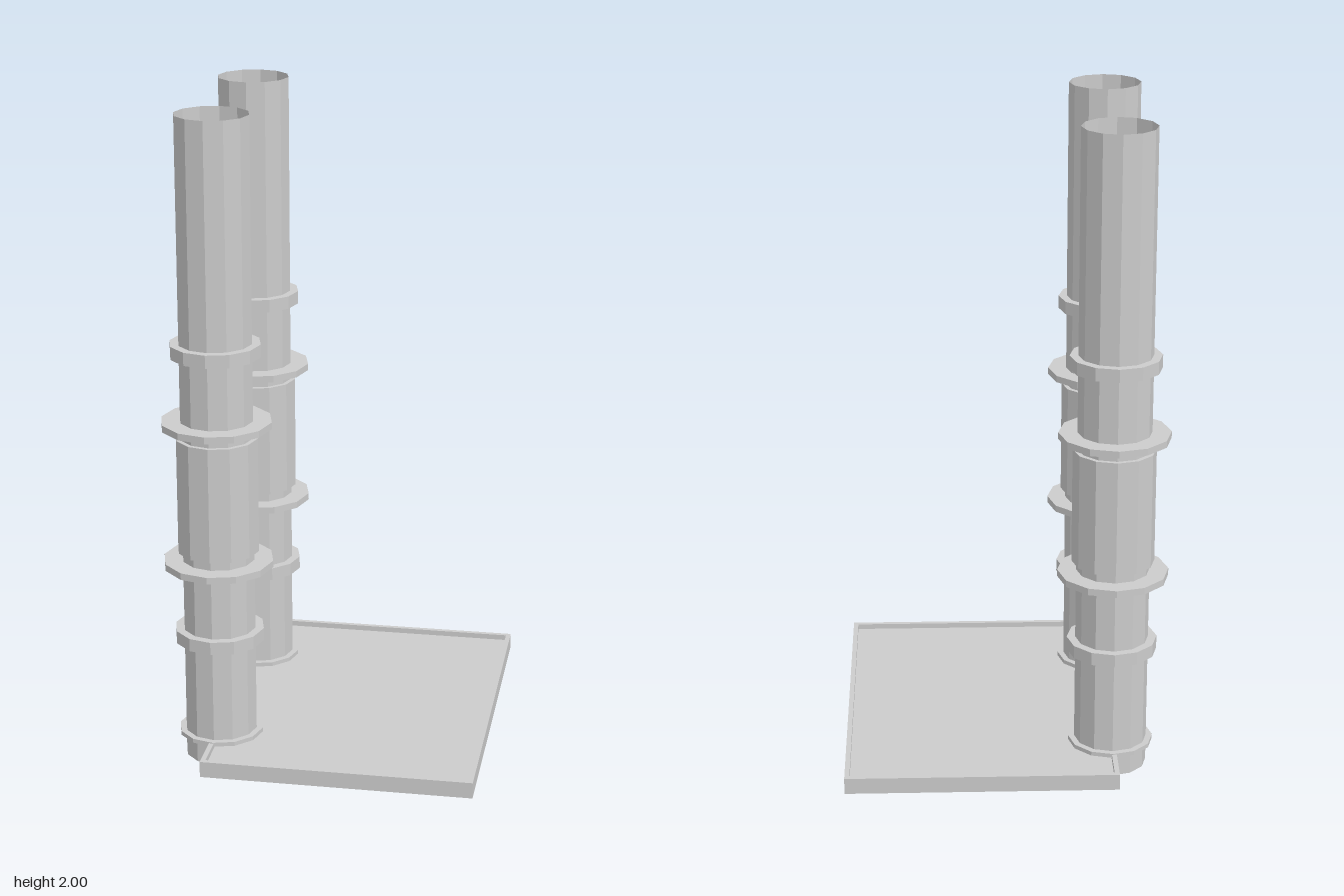
import * as THREE from 'three';

const SIDES = 12;

// Closed hollow ring with a rectangular section
function ringGeometry(inner, outer, y0, y1) {
  const profile = [[inner, y0], [outer, y0], [outer, y1], [inner, y1], [inner, y0]]
    .map(([r, y]) => new THREE.Vector2(r, y));
  return new THREE.LatheGeometry(profile, SIDES);
}

export function createModel() {
  const grey = new THREE.MeshStandardMaterial({ color: 0xcccccc, flatShading: true, side: THREE.DoubleSide });
  grey.name = 'light grey';
  const model = new THREE.Group();
  model.name = 'twinPipesOnTray';

  const add = (parent, geometry, name) => {
    const mesh = new THREE.Mesh(geometry, grey);
    mesh.name = name;
    parent.add(mesh);
    return mesh;
  };

  // Shallow tray: floor slab and raised rim
  const x0 = -0.335, x1 = 0.49, z = 0.553, y0 = 0.03, y1 = 0.08, floorY = 0.063, rim = 0.015;
  const cx = (x0 + x1) / 2;
  const tray = new THREE.Group();
  tray.name = 'tray';
  model.add(tray);
  const w = x1 - x0, h = y1 - y0;
  add(tray, new THREE.BoxGeometry(w - 2 * rim, floorY - y0, 2 * (z - rim)), 'trayFloor')
    .position.set(cx, (y0 + floorY) / 2, 0);
  for (const s of [-1, 1]) {
    add(tray, new THREE.BoxGeometry(w, h, rim), 'trayRimEnd')
      .position.set(cx, (y0 + y1) / 2, s * (z - rim / 2));
    add(tray, new THREE.BoxGeometry(rim, h, 2 * (z - rim)), 'trayRimSide')
      .position.set(cx + s * (w - rim) / 2, (y0 + y1) / 2, 0);
  }

  // Rings around each pipe: name, outer radius, bottom, top
  const pipeRadius = 0.111;
  const rings = [
    ['baseCollar', 0.13, 0.07, 0.083],
    ['lowerCollar', 0.137, 0.378, 0.418],
    ['lowerFlange', 0.168, 0.62, 0.641],
    ['sleeve', 0.125, 0.67, 1.028],
    ['upperFlange', 0.168, 1.06, 1.081],
    ['upperCollar', 0.137, 1.28, 1.32],
  ];
  for (const s of [-1, 1]) {
    const stack = new THREE.Group();
    stack.name = s > 0 ? 'frontPipe' : 'rearPipe';
    stack.position.set(-0.323, 0, s * 0.297);
    model.add(stack);
    add(stack, new THREE.CylinderGeometry(pipeRadius, pipeRadius, 2, SIDES, 1, true), 'pipe').position.y = 1;
    for (const [name, r, bottom, top] of rings) {
      add(stack, ringGeometry(pipeRadius, r, bottom, top), name);
    }
  }
  return model;
}
